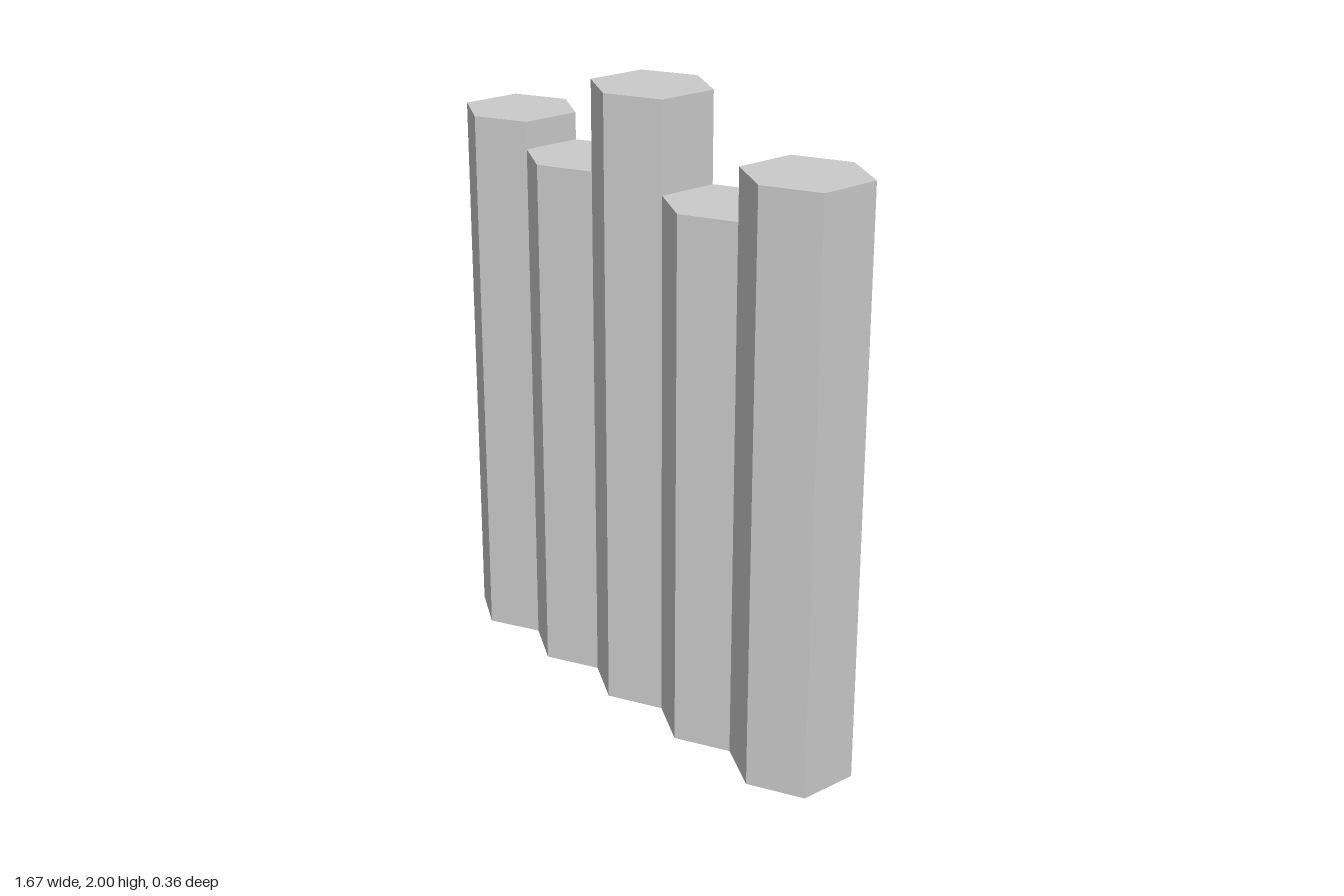
import * as THREE from 'three';

// Each column: left edge, ridge, right edge (x) and height
const COLUMNS = [
  [-0.834, -0.67, -0.508, 1.803],
  [-0.508, -0.341, -0.174, 1.715],
  [-0.174, -0.008, 0.161, 2],
  [0.161, 0.327, 0.494, 1.715],
  [0.494, 0.664, 0.834, 1.875],
];
const RIDGE = 0.18; // half depth at the ridge
const SHOULDER = 0.097; // half depth where columns meet

// Hexagonal prism standing on the ground
function columnGeometry(left, ridge, right, height) {
  const hexagon = new THREE.Shape([
    new THREE.Vector2(left, -SHOULDER),
    new THREE.Vector2(ridge, -RIDGE),
    new THREE.Vector2(right, -SHOULDER),
    new THREE.Vector2(right, SHOULDER),
    new THREE.Vector2(ridge, RIDGE),
    new THREE.Vector2(left, SHOULDER),
  ]);
  return new THREE.ExtrudeGeometry(hexagon, { depth: height, bevelEnabled: false })
    .rotateX(-Math.PI / 2);
}

export function createModel() {
  const group = new THREE.Group();
  group.name = 'hexagonalColumns';
  const stone = new THREE.MeshStandardMaterial({ color: 0xcccccc, flatShading: true });

  // Row of five columns, side by side
  COLUMNS.forEach((column, i) => {
    const mesh = new THREE.Mesh(columnGeometry(...column), stone);
    mesh.name = `column${i + 1}`;
    group.add(mesh);
  });
  return group;
}
